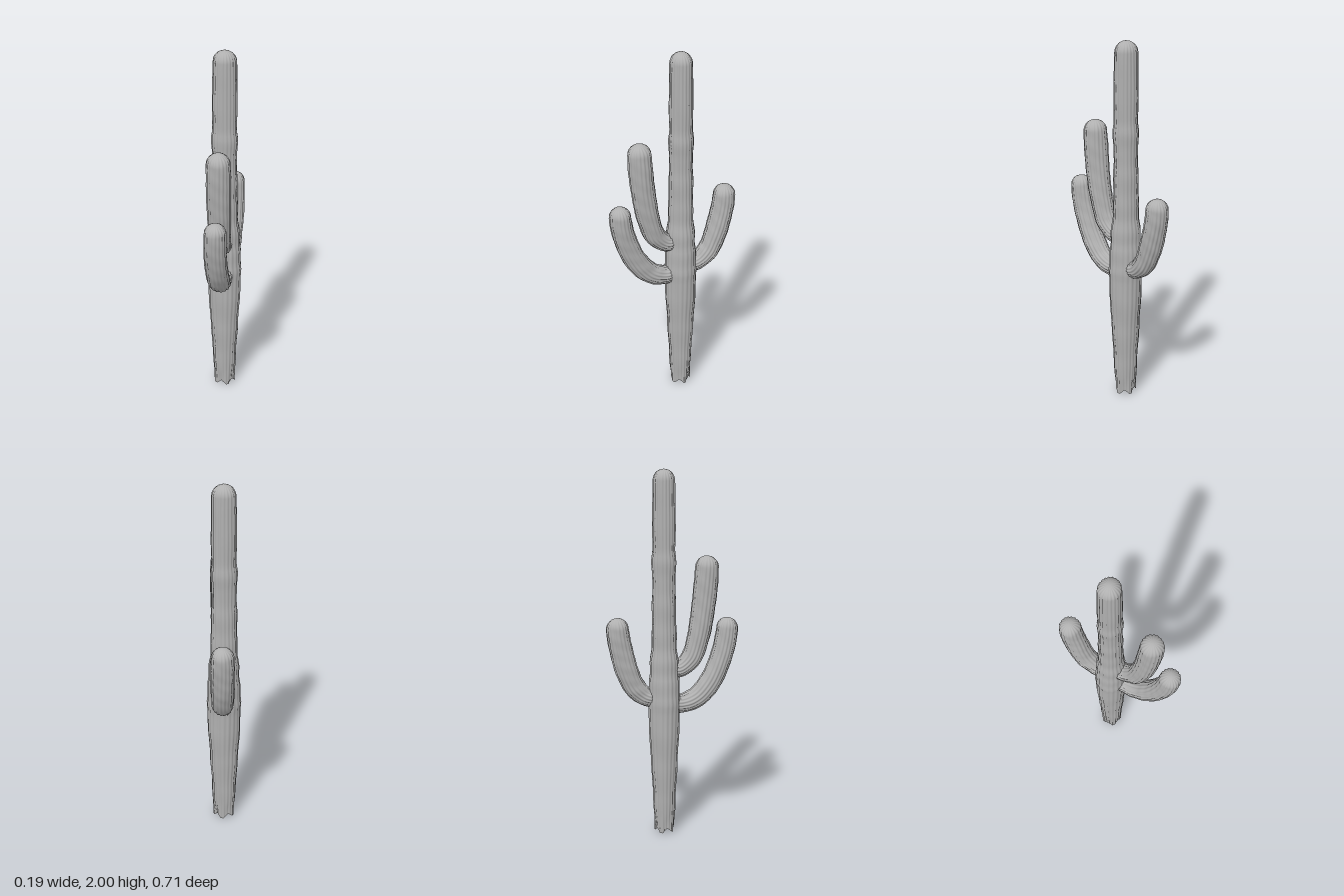
import * as THREE from 'three';

const SIDES = 96, BODY_RINGS = 90, DOME_RINGS = 14;

// Linear lookup in a list of [position along limb, radius]
function radiusAt(profile, u) {
  let k = 1;
  while (k < profile.length - 1 && profile[k][0] < u) k++;
  const [u0, r0] = profile[k - 1], [u1, r1] = profile[k];
  return THREE.MathUtils.lerp(r0, r1, THREE.MathUtils.smoothstep(u, u0, u1));
}

// Ribbed limb swept along a path lying near the yz plane, with a domed tip
function limb(name, material, path, profile, { ribs = 18, depth = 0.0022, flat = 1, ragged = 0, seed = 0 } = {}) {
  const curve = new THREE.CatmullRomCurve3(path.map(p => new THREE.Vector3(...p)));
  curve.arcLengthDivisions = 400;
  const length = curve.getLength();
  const tipRadius = profile[profile.length - 1][1];
  const uDome = 1 - tipRadius * 0.95 / length;
  const total = BODY_RINGS + DOME_RINGS;
  const side = new THREE.Vector3(1, 0, 0);
  const positions = [], index = [];

  for (let i = 0; i <= total; i++) {
    const dome = Math.max(0, i - BODY_RINGS) / DOME_RINGS * Math.PI / 2;
    const u = i <= BODY_RINGS ? uDome * i / BODY_RINGS : uDome + (1 - uDome) * Math.sin(dome);
    const centre = curve.getPointAt(Math.min(u, 1));
    const across = curve.getTangentAt(Math.min(u, 1)).cross(side).normalize();
    const taper = Math.max(Math.cos(dome), 0.001);
    const base = ragged * Math.max(0, 1 - u / 0.05);
    for (let j = 0; j < SIDES; j++) {
      const a = j / SIDES * Math.PI * 2;
      // Ribs wander slightly and soft lumps break up the outline
      const rib = Math.cos(ribs * a + 0.5 * Math.sin(u * 9 + seed));
      const lump = Math.sin(3 * a + u * 17 + seed) * Math.sin(u * 31 + seed * 2);
      const r = (radiusAt(profile, u) + depth * rib + 0.0012 * lump
        + 0.004 * base * Math.cos(5 * a)) * taper;
      const p = centre.clone()
        .addScaledVector(side, r * Math.cos(a))
        .addScaledVector(across, r * flat * Math.sin(a));
      p.y += 0.012 * base * (1 + Math.cos(5 * a + 2.2));
      positions.push(p.x, p.y, p.z);
    }
  }
  for (let i = 0; i < total; i++) {
    for (let j = 0; j < SIDES; j++) {
      const n = (j + 1) % SIDES;
      const a = i * SIDES + j, b = i * SIDES + n, c = b + SIDES, d = a + SIDES;
      index.push(a, b, c, a, c, d);
    }
  }
  const geometry = new THREE.BufferGeometry();
  geometry.setAttribute('position', new THREE.Float32BufferAttribute(positions, 3));
  geometry.setIndex(index);
  geometry.computeVertexNormals();
  const mesh = new THREE.Mesh(geometry, material);
  mesh.name = name;
  return mesh;
}

export function createModel() {
  const skin = new THREE.MeshStandardMaterial({ color: 0xb0b0b0 });
  skin.name = 'cactus grey';
  const group = new THREE.Group();
  group.name = 'cactus';

  // Trunk: swells below the arms, with soft growth rings higher up
  const trunkZ = -0.047;
  const heights = [
    [0, 0.055], [0.2, 0.065], [0.4, 0.076], [0.6, 0.087], [0.7, 0.088], [0.75, 0.092],
    [0.8, 0.087], [0.86, 0.087], [0.92, 0.08], [0.97, 0.081], [1.06, 0.069], [1.12, 0.07],
    [1.2, 0.066], [1.28, 0.068], [1.36, 0.063], [1.44, 0.064], [1.52, 0.069], [1.58, 0.062],
    [1.7, 0.064], [1.85, 0.062], [2, 0.059],
  ].map(([y, r]) => [y / 2, r]);
  group.add(limb('trunk', skin, [[0, 0, trunkZ], [0, 1, trunkZ], [0, 2, trunkZ]], heights,
    { ribs: 20, depth: 0.0022, flat: 0.94, ragged: 1 }));

  // Recessed underside of the trunk
  const underside = new THREE.Mesh(new THREE.ConeGeometry(0.059, 0.025, 40, 1, true), skin.clone());
  underside.material = skin;
  underside.geometry.index.array.reverse();
  underside.geometry.computeVertexNormals();
  underside.scale.z = 0.94;
  underside.position.set(0, 0.036, trunkZ);
  underside.name = 'trunkUnderside';
  group.add(underside);

  // Arms curve out of the trunk and turn upward
  group.add(limb('lowerFrontArm', skin, [
    [0.005, 0.745, -0.03], [0.008, 0.733, 0.05], [0.01, 0.765, 0.135], [0.012, 0.86, 0.215],
    [0.015, 1.0, 0.273], [0.018, 1.1, 0.295], [0.02, 1.2, 0.304],
  ], [[0, 0.045], [0.12, 0.05], [0.22, 0.055], [0.4, 0.059], [0.8, 0.058], [1, 0.055]], { seed: 1 }));
  group.add(limb('upperFrontArm', skin, [
    [0, 0.945, -0.03], [0.003, 0.933, 0.035], [0.007, 0.985, 0.1], [0.01, 1.1, 0.14],
    [0.012, 1.25, 0.166], [0.013, 1.4, 0.181], [0.013, 1.54, 0.189],
  ], [[0, 0.046], [0.12, 0.05], [0.25, 0.056], [0.5, 0.061], [0.8, 0.063], [1, 0.059]], { seed: 2.3 }));
  group.add(limb('backArm', skin, [
    [0.005, 0.775, -0.06], [0.005, 0.78, -0.14], [0.005, 0.835, -0.205], [0.004, 0.93, -0.248],
    [0.004, 1.03, -0.275], [0.003, 1.12, -0.292], [0.003, 1.22, -0.299],
  ], [[0, 0.046], [0.15, 0.05], [0.3, 0.057], [0.55, 0.061], [0.8, 0.06], [1, 0.056]], { seed: 4.1 }));

  return group;
}
